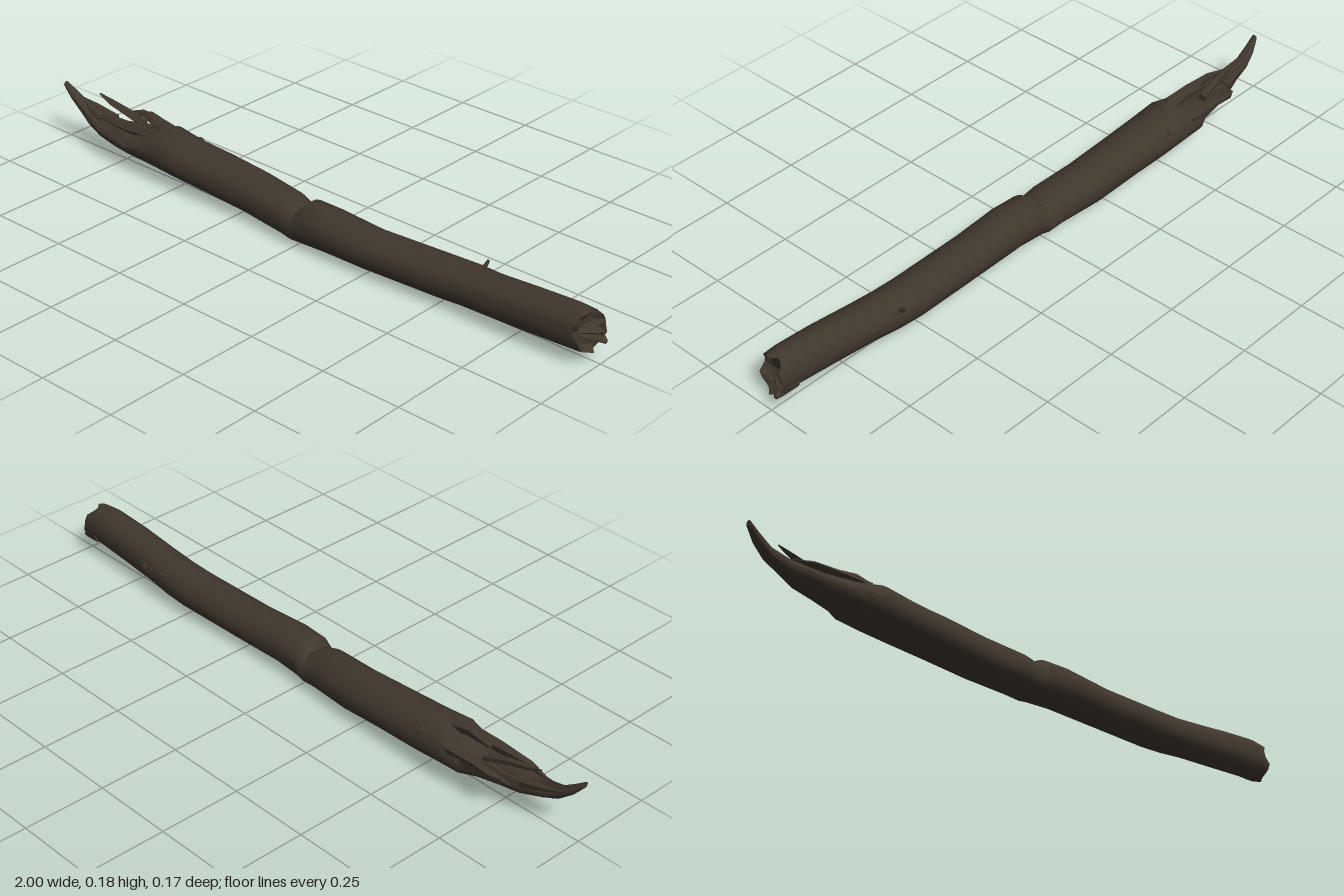
import * as THREE from 'three';
import { toCreasedNormals } from 'three/addons/utils/BufferGeometryUtils.js';

const bark = new THREE.MeshStandardMaterial({ color: 0x40372d, side: THREE.DoubleSide });
bark.name = 'dark bark';

// repeatable bump in -1..1
const bump = (i, j) => {
  const s = Math.sin(i * 12.99 + j * 78.23) * 43758.55;
  return (s - Math.floor(s)) * 2 - 1;
};

// closed loft along x through sections [x, bottom, top, back, front]
function loft(name, sections, sides, rough, shape = () => {}) {
  const pos = [], index = [], n = sections.length;
  sections.forEach(([x, y0, y1, z0, z1], i) => {
    for (let j = 0; j < sides; j++) {
      const a = (j / sides) * Math.PI * 2;
      const r = 1 + rough * (bump(0, j) * 0.7 + bump(i + 1, j) * 0.5);
      const p = new THREE.Vector3(x,
        (y0 + y1) / 2 + Math.sin(a) * r * (y1 - y0) / 2,
        (z0 + z1) / 2 + Math.cos(a) * r * (z1 - z0) / 2);
      shape(p, i, j, a);
      pos.push(p.x, p.y, p.z);
    }
  });
  for (let i = 0; i < n - 1; i++) {
    for (let j = 0; j < sides; j++) {
      const k = (j + 1) % sides;
      const a = i * sides + j, b = i * sides + k, c = a + sides, d = b + sides;
      index.push(a, b, c, b, d, c);
    }
  }
  // end caps
  for (let j = 1; j < sides - 1; j++) {
    const e = (n - 1) * sides;
    index.push(0, j + 1, j, e, e + j, e + j + 1);
  }
  const g = new THREE.BufferGeometry();
  g.setAttribute('position', new THREE.Float32BufferAttribute(pos, 3));
  g.setIndex(index);
  const mesh = new THREE.Mesh(toCreasedNormals(g, 0.7), bark);
  mesh.name = name;
  return mesh;
}

// pointed sliver along a list of [x, y, z, radius]
function splinter(name, points) {
  return loft(name, points.map(([x, y, z, r]) =>
    [x, y - r * 0.7, y + r * 0.7, z - r, z + r]), 5, 0.2);
}

export function createModel() {
  const group = new THREE.Group();
  group.name = 'brokenLog';

  // trunk, from the curled torn tip to the snapped end
  const trunk = [
    [-1.0, 0.175, 0.193, 0.0, 0.018],
    [-0.97, 0.14, 0.172, -0.012, 0.02],
    [-0.93, 0.108, 0.146, -0.02, 0.022],
    [-0.88, 0.083, 0.132, -0.022, 0.035],
    [-0.82, 0.067, 0.13, -0.04, 0.052],
    [-0.75, 0.055, 0.138, -0.048, 0.06],
    [-0.69, 0.048, 0.14, -0.06, 0.066],
    [-0.64, 0.043, 0.158, -0.085, 0.068],
    [-0.57, 0.038, 0.166, -0.088, 0.07],
    [-0.48, 0.033, 0.152, -0.084, 0.07],
    [-0.35, 0.026, 0.149, -0.08, 0.067],
    [-0.2, 0.017, 0.14, -0.075, 0.066],
    [-0.06, 0.01, 0.13, -0.06, 0.076],
    [-0.012, 0.008, 0.11, -0.056, 0.08],
    [0.015, 0.009, 0.136, -0.053, 0.08],
    [0.1, 0.013, 0.139, -0.05, 0.083],
    [0.25, 0.016, 0.126, -0.052, 0.08],
    [0.5, 0.02, 0.135, -0.06, 0.07],
    [0.58, 0.025, 0.138, -0.058, 0.067],
    [0.66, 0.03, 0.142, -0.05, 0.071],
    [0.8, 0.036, 0.156, -0.042, 0.073],
    [0.92, 0.041, 0.166, -0.038, 0.072],
    [0.97, 0.044, 0.163, -0.037, 0.07],
    [0.96, 0.06, 0.14, -0.022, 0.052],
  ];
  group.add(loft('trunk', trunk, 20, 0.035, (p, i, j) => {
    // slanted, ragged snapped end
    if (i >= 22) p.x += 0.005 - 0.25 * (p.z - 0.015) - 0.1 * (p.y - 0.1) + 0.012 * bump(i, j);
    // ragged, hollowed upper side at the torn end
    if (i > 2 && i < 8) {
      const mid = (trunk[i][1] + trunk[i][2]) / 2;
      if (p.y > mid) p.y -= 0.012 * (1 + bump(i * 3, j));
    }
  }));

  // torn slivers at the left end and stubs along the bark
  const slivers = {
    upperSplinter: [[-0.88, 0.178, -0.02, 0.003], [-0.83, 0.163, -0.02, 0.012],
      [-0.78, 0.153, -0.022, 0.014], [-0.7, 0.13, -0.03, 0.018]],
    backSplinter: [[-0.79, 0.128, -0.072, 0.006], [-0.765, 0.13, -0.078, 0.014],
      [-0.7, 0.132, -0.076, 0.013], [-0.6, 0.12, -0.065, 0.02]],
    lowBackSplinter: [[-0.8, 0.1, -0.045, 0.004], [-0.74, 0.105, -0.05, 0.016],
      [-0.64, 0.1, -0.055, 0.025]],
    frontSplinter: [[-0.87, 0.125, 0.02, 0.003], [-0.8, 0.135, 0.025, 0.014],
      [-0.7, 0.135, 0.025, 0.022], [-0.6, 0.14, 0.02, 0.02]],
    barkFlap: [[-0.71, 0.165, -0.025, 0.008], [-0.67, 0.17, -0.02, 0.018],
      [-0.63, 0.167, -0.01, 0.022], [-0.55, 0.148, -0.01, 0.025]],
    tipBarb: [[-0.95, 0.145, -0.014, 0.003], [-0.9, 0.13, -0.018, 0.012],
      [-0.82, 0.11, -0.02, 0.02]],
    endShard: [[0.93, 0.075, -0.018, 0.022], [0.98, 0.072, -0.018, 0.018],
      [1.0, 0.065, -0.02, 0.007]],
  };
  for (const [name, pts] of Object.entries(slivers)) group.add(splinter(name, pts));

  // short broken twig and knots on the back
  for (const [x, y, z, r, len] of [[0.58, 0.115, -0.056, 0.008, 0.035],
    [0.68, 0.1, -0.047, 0.014, 0.008], [-0.5, 0.13, -0.07, 0.014, 0.01]]) {
    const stub = new THREE.Mesh(new THREE.CylinderGeometry(r * 0.5, r, len, 6), bark);
    stub.name = 'twigStub';
    stub.position.set(x, y, z);
    stub.rotation.x = -0.9;
    group.add(stub);
  }
  return group;
}
